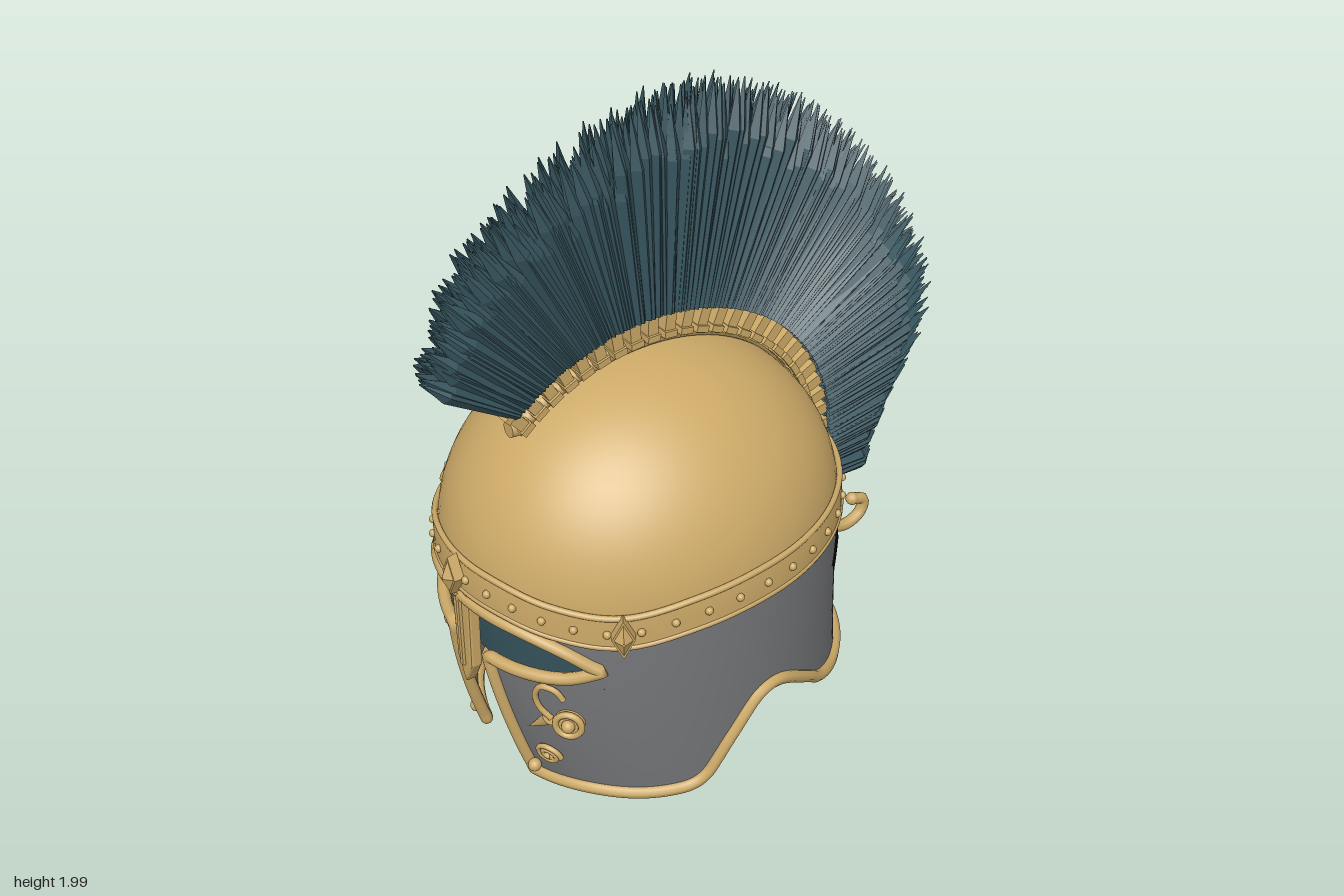
import * as THREE from 'three';
import { mergeGeometries } from 'three/addons/utils/BufferGeometryUtils.js';

const mat = (name, color, side = THREE.DoubleSide) => {
  const m = new THREE.MeshStandardMaterial({ color, side });
  m.name = name;
  return m;
};
const V = (x, y, z) => new THREE.Vector3(x, y, z);

// Smooth height curve through [angle, y] pairs
function curveThrough(p) {
  const slope = (i) => {
    const a = p[Math.max(i - 1, 0)], b = p[Math.min(i + 1, p.length - 1)];
    return (b[1] - a[1]) / (b[0] - a[0]);
  };
  return (angle) => {
    const x = Math.abs(angle);
    let i = 0;
    while (i < p.length - 2 && x > p[i + 1][0]) i++;
    const h = p[i + 1][0] - p[i][0], t = Math.min(Math.max((x - p[i][0]) / h, 0), 1);
    return (1 + 2 * t) * (1 - t) ** 2 * p[i][1] + t * (1 - t) ** 2 * h * slope(i)
      + t * t * (3 - 2 * t) * p[i + 1][1] + t * t * (t - 1) * h * slope(i + 1);
  };
}

// Helmet surface: angle 0 is the front, positive towards +x
function P(a, y, off = 0) {
  const t = Math.max(0, (0.7 - y) / 0.7), up = Math.max(0, (y - 0.7) / 0.53);
  const dome = Math.sqrt(Math.max(0, 1 - up * up)) + off / 0.56;
  const slant = 0.13 * Math.max(0, (0.48 - y) / 0.46) * Math.max(0, 1 - Math.abs(a));
  const th = a + Math.sign(a) * slant, f = (1 + Math.cos(th)) / 2;
  return V(0.53 * Math.sin(th) * (dome - 0.1 * t * t * f), y,
    0.19 + 0.6 * Math.cos(th) * (dome - 0.2 * t * t * f + 0.07 * t ** 3 * (1 - f)));
}
// Surface point found from its front x and y
function at(x, y, off = 0) {
  let a = Math.asin(x / 0.53);
  for (let i = 0; i < 10; i++) a += (x - P(a, y).x) / 0.6;
  return P(a, y, off);
}

// Curved sheet between two angles and two height curves
function panel(a0, a1, lo, hi, nu, nv, off = 0) {
  const pos = [], idx = [];
  for (let i = 0; i <= nu; i++) for (let j = 0; j <= nv; j++) {
    const a = a0 + (a1 - a0) * i / nu, y = lo(a) + (hi(a) - lo(a)) * j / nv;
    pos.push(...P(a, y, off).toArray());
    if (i < nu && j < nv) {
      const k = i * (nv + 1) + j, n = k + nv + 1;
      idx.push(k, n, n + 1, k, n + 1, k + 1);
    }
  }
  const g = new THREE.BufferGeometry();
  g.setAttribute('position', new THREE.Float32BufferAttribute(pos, 3));
  g.setIndex(idx);
  g.computeVertexNormals();
  return g;
}
const tube = (pts, r, n = pts.length * 3, closed = false) =>
  new THREE.TubeGeometry(new THREE.CatmullRomCurve3(pts, closed), n, r, 8, closed);

export function createModel() {
  const gold = mat('gold', 0xcdaa68), steel = mat('steel grey', 0x77787b);
  const teal = mat('dark teal', 0x36545d), black = mat('black', 0x080808);
  const model = new THREE.Group();
  const add = (name, geo, m, parent = model) => {
    const mesh = new THREE.Mesh(geo, m);
    mesh.name = name;
    parent.add(mesh);
    return mesh;
  };

  // Outlines of the openings and lower rim
  const SLIT = 0.17, TIP = 0.83;
  const rim = curveThrough([[0, 0.02], [0.2, 0.025], [0.6, 0.04], [1.15, 0.045], [1.33, 0.075], [1.46, 0.19],
    [1.61, 0.31], [1.71, 0.335], [1.81, 0.32], [2, 0.245], [2.15, 0.18], [2.4, 0.138], [3.1416, 0.135]]);
  const eyeTop = curveThrough([[0, 0.65], [0.25, 0.645], [0.45, 0.632], [0.65, 0.595], [TIP, 0.535]]);
  const eyeLow = curveThrough([[SLIT, 0.48], [0.4, 0.482], [0.65, 0.497], [TIP, 0.535]]);
  const top = () => 0.7;

  // Dome and dark interior
  add('dome', new THREE.SphereGeometry(1, 64, 24, 0, Math.PI * 2, 0, Math.PI / 2)
    .scale(0.53, 0.53, 0.6).translate(0, 0.7, 0.19), gold);
  add('innerLining', new THREE.SphereGeometry(1, 48, 32).scale(0.492, 0.49, 0.55).translate(0, 0.52, 0.12), black);
  add('eyeBacking', panel(-0.95, 0.95, () => 0.44, top, 32, 4, -0.03), teal);

  // Wall panels around the eye openings and nose slit
  const walls = [];
  for (const s of [-1, 1]) {
    const side = (a, b, lo, hi, nu, nv) =>
      walls.push(s > 0 ? panel(a, b, lo, hi, nu, nv) : panel(-b, -a, lo, hi, nu, nv));
    side(0, TIP, eyeTop, top, 24, 3);
    side(SLIT, TIP, rim, eyeLow, 24, 14);
    side(TIP, Math.PI, rim, top, 72, 18);
  }
  add('wall', mergeGeometries(walls), steel);

  // Raised trim along every open edge
  for (const s of [-1, 1]) {
    const edge = [];
    const run = (n, f) => { for (let i = 0; i <= n; i++) edge.push(f(i / n)); };
    const mix = (a, b, t) => a + (b - a) * t;
    run(14, (t) => P(s * mix(0.001, TIP, t), eyeTop(mix(0, TIP, t)), 0.006));
    run(12, (t) => P(s * mix(TIP - 0.02, SLIT + 0.02, t), eyeLow(mix(TIP - 0.02, SLIT + 0.02, t)), 0.006));
    run(12, (t) => P(s * SLIT, mix(0.47, rim(SLIT), t), 0.006));
    run(56, (t) => P(s * mix(SLIT + 0.03, Math.PI, t), rim(mix(SLIT + 0.03, Math.PI, t)), 0.004));
    add('edgeTrim', tube(edge, 0.019, 300), gold);
  }

  // Brow band with beaded edges, rivets and diamond studs
  const mid = curveThrough([[0, 0.727], [0.3, 0.722], [0.6, 0.695], [0.93, 0.675], [1.3, 0.708], [1.7, 0.727], [3.1416, 0.725]]);
  const bandLow = (a) => mid(a) - 0.05, bandTop = (a) => mid(a) + 0.05;
  add('browBand', panel(-Math.PI, Math.PI, bandLow, bandTop, 128, 4, 0.012), gold);
  for (const f of [bandLow, bandTop]) {
    const pts = Array.from({ length: 80 }, (_, i) => {
      const a = (i / 80 * 2 - 1) * Math.PI;
      return P(a, f(a), 0.008);
    });
    add('bandEdge', tube(pts, 0.009, 160, true), gold);
  }
  const rivets = [];
  for (let i = 0; i < 40; i++) {
    const a = ((i + 0.5) / 20 - 1) * Math.PI, p = P(a, mid(a), 0.014);
    rivets.push(new THREE.SphereGeometry(0.012, 10, 8).translate(p.x, p.y, p.z));
  }
  add('bandRivets', mergeGeometries(rivets), gold);

  // Group sitting on the surface with +z pointing outwards
  const mount = (name, p) => {
    const g = new THREE.Group();
    g.name = name;
    g.position.copy(p);
    g.lookAt(p.x + p.x / 0.28, p.y, p.z + (p.z - 0.19) / 0.36);
    model.add(g);
    return g;
  };
  const disc = (r0, r1, h, n = 24) => new THREE.CylinderGeometry(r1, r0, h, n).rotateX(Math.PI / 2);
  for (const a of [-0.94, 0, 0.94]) {
    const g = mount('diamondStud', P(a, mid(a), 0.025));
    add('diamondBase', disc(0.034, 0.032, 0.03, 4).scale(1, 2, 1).toNonIndexed(), gold, g).geometry.computeVertexNormals();
    const point = disc(0.026, 0.004, 0.02, 4).scale(1, 2, 1).translate(0, 0, 0.025).toNonIndexed();
    point.computeVertexNormals();
    add('diamondPoint', point, gold, g);
  }

  // Nose guard
  const nose = new THREE.Shape([[-0.038, 0.665], [-0.03, 0.41], [0, 0.345], [0.03, 0.41], [0.038, 0.665]]
    .map(([x, y]) => new THREE.Vector2(x, y)));
  add('noseGuard', new THREE.ExtrudeGeometry(nose, { depth: 0.022, bevelSize: 0.008, bevelThickness: 0.008, bevelSegments: 2 })
    .translate(0, 0, 0.772), gold);
  add('noseRidge', new THREE.BoxGeometry(0.014, 0.26, 0.014).translate(0, 0.53, 0.804), gold);

  // Cheek ornaments: boss with stem and leaf, small spiral, corner rivet
  for (const s of [-1, 1]) {
    const boss = mount('cheekBoss', at(s * 0.307, 0.325, 0.008));
    add('bossDisc', disc(0.045, 0.036, 0.03), gold, boss);
    add('bossRing', new THREE.TorusGeometry(0.038, 0.01, 8, 28).translate(0, 0, 0.014), gold, boss);
    add('bossCentre', new THREE.SphereGeometry(0.02, 14, 10).translate(0, 0, 0.018), gold, boss);
    const line = (pts) => pts.map(([x, y]) => at(s * x, y, 0.012));
    add('curledStem', tube(line([[0.265, 0.33], [0.24, 0.365], [0.235, 0.41], [0.255, 0.45], [0.29, 0.445], [0.305, 0.415]]), 0.009, 30), gold);
    const leaf = new THREE.ConeGeometry(0.022, 0.1, 10).scale(1, 1, 0.6);
    const a = at(s * 0.26, 0.325, 0.012), b = at(s * 0.18, 0.25, 0.012);
    const m = add('leaf', leaf, gold);
    m.position.copy(a).lerp(b, 0.5);
    m.quaternion.setFromUnitVectors(V(0, 1, 0), b.sub(a).normalize());
    const spiral = Array.from({ length: 24 }, (_, i) => {
      const w = i * 0.5, r = 0.036 - i * 0.0011;
      return [0.222 + r * Math.cos(w), 0.155 + r * Math.sin(w)];
    });
    add('cheekSpiral', tube(line(spiral), 0.008, 72), gold);
    const p = at(s * 0.155, 0.068, 0.016);
    add('cornerRivet', new THREE.SphereGeometry(0.02, 14, 10).translate(p.x, p.y, p.z), gold);
  }

  // Crest holder: rail on the dome with a row of upright pegs
  const arc = (deg, rz, ry) => {
    const a = deg * Math.PI / 180;
    return V(0, 0.7 + ry * Math.cos(a), 0.19 + rz * Math.sin(a));
  };
  add('crestRail', tube(Array.from({ length: 30 }, (_, i) => arc(41 - i * 5, 0.618, 0.55)), 0.024, 90), gold);
  const pegs = [];
  for (let i = 0; i < 28; i++) {
    const deg = 40 - i * 143 / 27, p = arc(deg, 0.642, 0.605);
    for (const [w, h, d, y] of [[0.085, 0.1, 0.034, 0], [0.1, 0.02, 0.042, 0.042], [0.1, 0.02, 0.042, -0.035]])
      pegs.push(new THREE.BoxGeometry(w, h, d).translate(0, y, 0).rotateX(deg * Math.PI / 180).translate(0, p.y, p.z));
  }
  add('crestPegs', mergeGeometries(pegs), gold);
  add('railEnd', disc(0.028, 0.024, 0.05, 16).translate(0, 1.125, 0.59), gold);

  // Plume: layered tapering strands fanned along the crest
  let seed = 7;
  const rnd = () => (seed = (seed * 16807) % 2147483647) / 2147483647;
  const tips = new THREE.CatmullRomCurve3([[0.88, 1.38], [0.76, 1.66], [0.5, 1.86], [0.15, 1.98], [-0.17, 1.94],
    [-0.47, 1.75], [-0.71, 1.47], [-0.86, 1.17], [-0.86, 0.93], [-0.74, 0.72], [-0.66, 0.51]].map(([z, y]) => V(0, y, z)));
  const pos = [], STRANDS = 150;
  const strand = (u, x) => {
    const base = arc(40 - 146 * u, 0.665, 0.64);
    const tip = tips.getPoint(Math.min(Math.max(u + (rnd() - 0.5) * 0.012, 0), 1));
    const dir = tip.sub(base).multiplyScalar(0.84 + 0.18 * Math.sqrt(rnd()));
    const across = V(0, -dir.z, dir.y).normalize(), out = V(1, 0, 0);
    const ring = (t, w, d, sx) => [[1, 0], [0, 1], [-1, 0], [0, -1]].map(([c, e]) =>
      base.clone().addScaledVector(dir, t).addScaledVector(across, c * w).addScaledVector(out, sx + e * d));
    const rings = [ring(0, 0.014, 0.016, x), ring(0.72 + rnd() * 0.08, 0.024, 0.019, x), ring(1, 0.002, 0.002, x * 0.55)];
    for (let r = 0; r < 2; r++) for (let k = 0; k < 4; k++) {
      const a = rings[r][k], b = rings[r][(k + 1) % 4], c = rings[r + 1][(k + 1) % 4], d = rings[r + 1][k];
      for (const v of [a, c, b, a, d, c]) pos.push(v.x, v.y, v.z);
    }
  };
  for (let i = 0; i < STRANDS; i++) for (let l = -2; l <= 2; l++)
    strand(Math.min(Math.max((i + rnd() * 0.8) / STRANDS, 0), 1), l * 0.0225 + (rnd() - 0.5) * 0.008);
  const plume = new THREE.BufferGeometry();
  plume.setAttribute('position', new THREE.Float32BufferAttribute(pos, 3));
  plume.computeVertexNormals();
  add('plume', plume, teal);

  // Curled hook below the crest at the back
  add('backHook', tube([[-0.42, 0.58], [-0.44, 0.48], [-0.48, 0.37], [-0.545, 0.285], [-0.61, 0.265],
    [-0.665, 0.29], [-0.675, 0.335], [-0.63, 0.355]].map(([z, y]) => V(0, y, z)), 0.019, 48), gold);
  add('hookTip', new THREE.SphereGeometry(0.021, 12, 10).translate(0, 0.355, -0.63), gold);
  return model;
}
